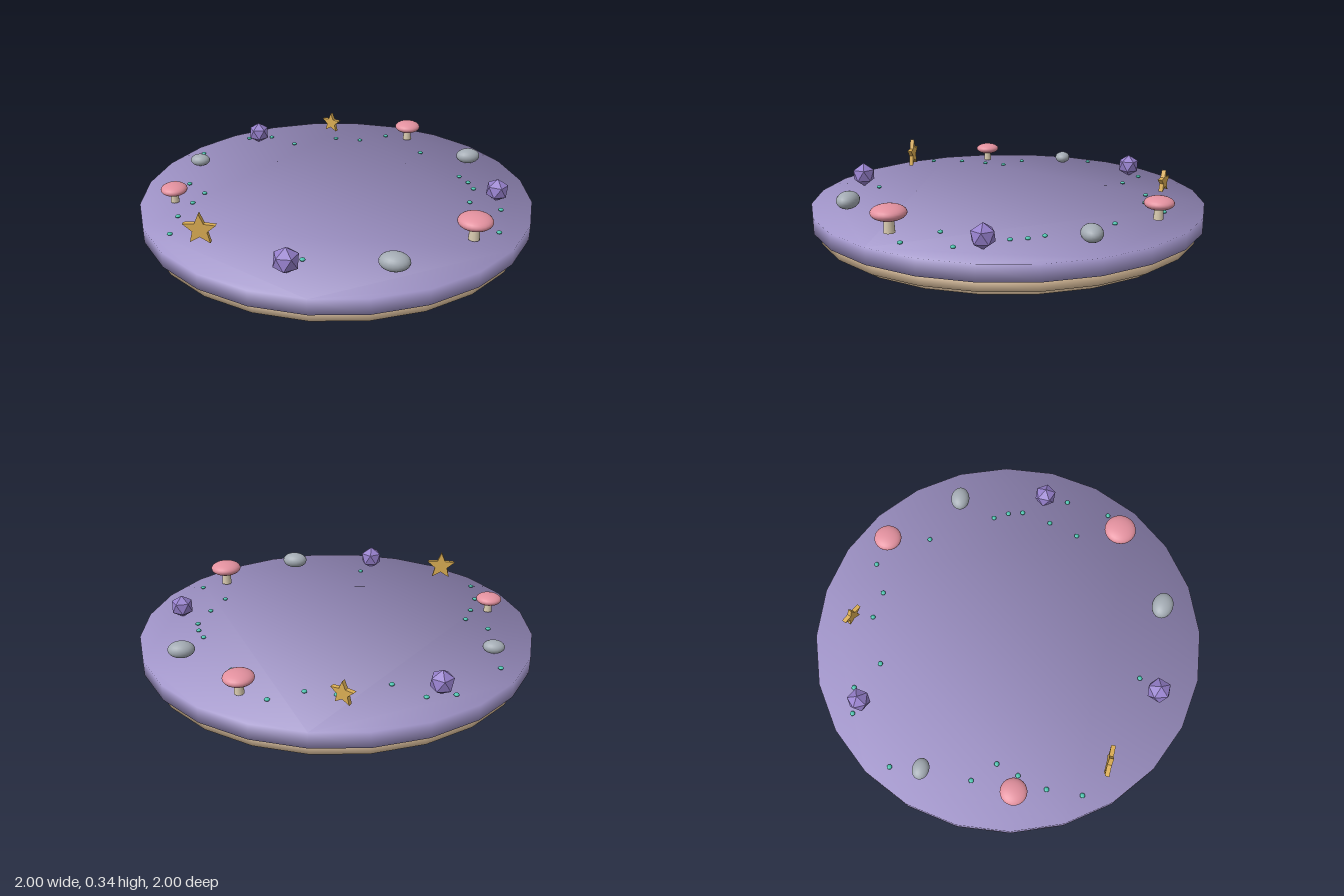
import * as THREE from 'three';

const mat = (color, extra = {}) => {
  const m = new THREE.MeshStandardMaterial(extra);
  m.color.set(color);
  return m;
};
const M = {
  top: mat(0xa094c8), base: mat(0xdcbf9c), cap: mat(0xe3919f), stem: mat(0xd9cbb0),
  stone: mat(0xa3abb3), gem: mat(0x9680cc, { flatShading: true }),
  star: mat(0xdcae54, { flatShading: true }), bead: mat(0x4cc2ae),
};

function add(parent, name, geometry, material, x = 0, y = 0, z = 0) {
  const mesh = new THREE.Mesh(geometry, material);
  mesh.name = name;
  mesh.position.set(x, y, z);
  parent.add(mesh);
  return mesh;
}

// 24-sided slab whose rim normals blend cap and wall into one soft surface
function slab(radius, y0, y1) {
  const pts = [];
  for (let i = 0; i < 24; i++) {
    const a = (i / 24) * Math.PI * 2;
    pts.push(new THREE.Vector2(Math.cos(a) * radius, Math.sin(a) * radius));
  }
  const g = new THREE.ExtrudeGeometry(new THREE.Shape(pts), { depth: y1 - y0, bevelEnabled: false });
  g.rotateX(-Math.PI / 2);
  const p = g.attributes.position, n = g.attributes.normal, v = new THREE.Vector3();
  for (let i = 0; i < p.count; i++) {
    const up = p.getY(i) > (y1 - y0) / 2 ? 1 : -1;
    v.set(p.getX(i) / radius, up, p.getZ(i) / radius).normalize();
    n.setXYZ(i, v.x, v.y, v.z);
  }
  return g.translate(0, y0, 0);
}

function starGeometry(R, depth) {
  const pts = [];
  for (let i = 0; i < 10; i++) {
    const a = Math.PI / 2 + (i * Math.PI) / 5, r = i % 2 ? R * 0.45 : R;
    pts.push(new THREE.Vector2(Math.cos(a) * r, Math.sin(a) * r));
  }
  return new THREE.ExtrudeGeometry(new THREE.Shape(pts), { depth, bevelEnabled: false })
    .translate(0, 0, -depth / 2);
}

export function createModel() {
  const model = new THREE.Group();
  model.name = 'decoratedPlatform';

  // Platform tiers
  add(model, 'platformTop', slab(1, 0.085, 0.163), M.top);
  add(model, 'platformMiddle', slab(0.965, 0.03, 0.085), M.base);
  add(model, 'platformFoot', slab(0.92, 0, 0.03), M.base);

  // Mushrooms: x, z, cap radius, cap centre height
  for (const [x, z, r, y] of [[0.69, 0.44, 0.083, 0.268], [0.34, -0.75, 0.072, 0.254], [-0.79, 0.23, 0.066, 0.245]]) {
    const mushroom = new THREE.Group();
    mushroom.name = 'mushroom';
    mushroom.position.set(x, 0, z);
    add(mushroom, 'mushroomStem', new THREE.CylinderGeometry(r * 0.26, r * 0.33, y - 0.175, 12), M.stem, 0, (y + 0.175) / 2, 0);
    add(mushroom, 'mushroomCap', new THREE.SphereGeometry(r, 24, 16).scale(1, 0.44, 1), M.cap, 0, y, 0);
    model.add(mushroom);
  }

  // Stones: x, z, half sizes, turn
  for (const [x, z, rx, ry, rz, turn] of [
    [0.34, 0.745, 0.071, 0.043, 0.055, -0.1],
    [0.69, -0.45, 0.065, 0.04, 0.05, 0.2],
    [-0.79, -0.235, 0.053, 0.032, 0.042, 0],
  ]) {
    const stone = add(model, 'stone', new THREE.SphereGeometry(1, 20, 14).scale(rx, ry, rz), M.stone, x, 0.17 + ry, z);
    stone.rotation.y = turn;
  }

  // Gems standing on a point: x, z, radius, turn
  for (const [x, z, r, turn] of [[0.82, 0, 0.06, 0], [-0.12, 0.81, 0.064, 0.3], [-0.54, -0.63, 0.06, 0.5]]) {
    const g = new THREE.IcosahedronGeometry(r, 0).rotateZ(-Math.atan(2 / (1 + Math.sqrt(5))));
    add(model, 'gem', g, M.gem, x, 0.161 + r, z).rotation.y = turn;
  }

  // Upright stars: x, y, z, radius, turn
  for (const [x, y, z, r, turn] of [[-0.54, 0.258, 0.642, 0.081, 0], [-0.123, 0.24, -0.8, 0.06, -0.42]]) {
    add(model, 'star', starGeometry(r, 0.022), M.star, x, y, z).rotation.y = turn;
  }

  // Scattered beads: x, z
  const beadGeometry = new THREE.SphereGeometry(0.013, 10, 8).scale(1, 0.6, 1);
  const beads = [
    [-0.605, -0.65], [-0.475, -0.685], [-0.32, -0.595], [-0.085, -0.71], [0.06, -0.7], [0.21, -0.785],
    [0.425, -0.55], [0.64, -0.245], [0.685, -0.175], [0.71, -0.1], [0.685, 0.06], [0.835, 0.125],
    [0.645, 0.22], [0.81, 0.36], [-0.065, 0.71], [-0.715, 0.555], [-0.73, 0.38], [-0.7, 0.23],
    [-0.67, 0.115], [-0.78, 0.015], [-0.815, -0.39],
  ];
  for (const [x, z] of beads) add(model, 'bead', beadGeometry, M.bead, x, 0.173, z);

  return model;
}
